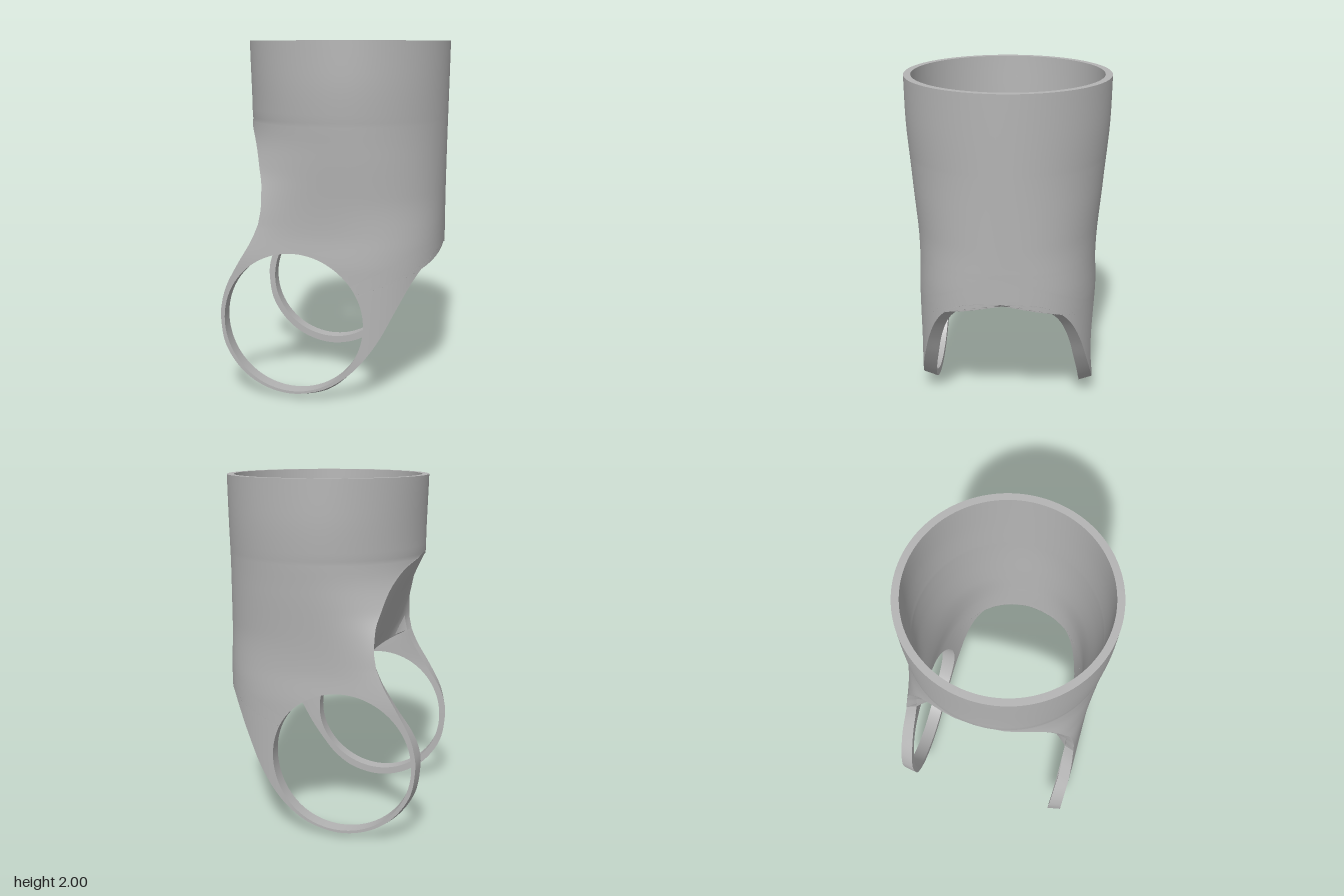
import * as THREE from 'three';
import { mergeVertices, mergeGeometries } from 'three/addons/utils/BufferGeometryUtils.js';

// Smooth lookup through [key, value] pairs, keys ascending, without overshoot at peaks
function lookup(keys) {
  const last = keys.length - 1;
  const rise = (i) => (keys[i + 1][1] - keys[i][1]) / (keys[i + 1][0] - keys[i][0]);
  const slope = (i) => {
    if (i === 0) return rise(0);
    if (i === last) return rise(last - 1);
    const a = rise(i - 1), b = rise(i);
    return a * b <= 0 ? 0 : 2 * a * b / (a + b);
  };
  return (y) => {
    if (y <= keys[0][0]) return keys[0][1];
    if (y >= keys[last][0]) return keys[last][1];
    let i = 0;
    while (y > keys[i + 1][0]) i++;
    const [y0, v0] = keys[i], [y1, v1] = keys[i + 1];
    const h = y1 - y0, u = (y - y0) / h, w = 1 - u;
    return v0 * w * w * (1 + 2 * u) + v1 * u * u * (1 + 2 * w)
      + h * u * w * (slope(i) * w - slope(i + 1) * u);
  };
}

// Horizontal cross-section by height: centre, right and left reach, depth, squareness, wall
const centre = lookup([[0, -0.05], [0.7, -0.05], [1, -0.03], [1.5, 0.03], [2, 0.035]]);
const right = lookup([[0, 0.6], [0.85, 0.6], [2, 0.615]]);
const left = lookup([[0, 2], [0.8, 2], [1, 1.1], [1.3, 0.63], [1.57, 0.565], [2, 0.577]]);
const depth = lookup([[0, 0.53], [0.75, 0.53], [0.95, 0.522], [1.4, 0.55], [1.8, 0.578], [2, 0.58]]);
const power = lookup([[0, 2.5], [0.85, 2.5], [1.15, 2.22], [1.6, 2], [2, 2]]);
const wall = lookup([[0, 0.08], [0.3, 0.08], [0.8, 0.065], [1.2, 0.05], [1.55, 0.04], [2, 0.04]]);
// Left edge of the side walls, and the middle line of the recessed panel
const edgeX = lookup([[1, -0.375], [1.1, -0.36], [1.2, -0.362], [1.3, -0.385], [1.4, -0.415], [1.5, -0.47], [1.57, -0.545]]);
const panelX = lookup([[0.95, -0.225], [1.1, -0.3], [1.3, -0.395], [1.57, -0.53]]);

const HOLE = { x: -0.18, y: 0.445, r: 0.4 };
const SEAM = 1, NOTCH = 1.57, PANEL_FOOT = 0.95, COLS = 64, ROWS = 14;

const reach = (side, y, inset) => (side >= 0 ? right(y) - centre(y) : left(y)) - inset * wall(y);

// Point on the shell (inset 0 = outside, 1 = inside)
function shell(t, y, inset) {
  const c = Math.cos(t), n = power(y);
  const z = (depth(y) - inset * wall(y)) * Math.pow(Math.max(0, 1 - Math.pow(Math.abs(c), n)), 1 / n);
  return new THREE.Vector3(centre(y) + reach(c, y, inset) * c, y, z < 1e-4 ? 0 : z);
}
// Angle on the shell at a given x
function angleAt(x, y, inset) {
  const d = x - centre(y);
  return Math.acos(THREE.MathUtils.clamp(d / reach(d, y, inset), -1, 1));
}
const leftAngle = (y) => (y >= NOTCH - 1e-6 ? Math.PI : angleAt(edgeX(y), y, 0));

// Lower outline: x, y, then the bevel shift of the inside edge
const OUTLINE = [
  [-0.375, 1, 0, 0], [-0.418, 0.9, 0, 0], [-0.495, 0.77, -0.005, 0], [-0.56, 0.65, -0.025, 0],
  [-0.592, 0.55, -0.037, 0], [-0.602, 0.445, -0.038, 0], [-0.575, 0.29, -0.035, -0.01],
  [-0.48, 0.15, -0.025, -0.02], [-0.345, 0.062, -0.01, -0.028], [-0.18, 0.03, 0, -0.03],
  [-0.01, 0.066, 0.01, -0.03], [0.12, 0.145, 0.01, -0.03], [0.22, 0.245, 0, -0.03],
  [0.31, 0.375, 0, -0.03], [0.385, 0.52, 0, -0.03], [0.45, 0.645, 0, -0.035],
  [0.495, 0.72, 0, -0.035], [0.54, 0.783, 0, -0.038], [0.575, 0.822, 0, -0.04],
  [0.592, 0.836, 0, -0.04], [0.6, 0.84, 0, -0.04],
];
const EDGE = 200;

function outline(inset) {
  const along = new THREE.SplineCurve(OUTLINE.map(([x, y]) => new THREE.Vector2(x, y)));
  const bevel = new THREE.SplineCurve(OUTLINE.map((p) => new THREE.Vector2(p[2], p[3])));
  const pts = [];
  for (let i = 0; i <= EDGE; i++) {
    const p = along.getPoint(i / EDGE), b = bevel.getPoint(i / EDGE);
    pts.push(new THREE.Vector2(angleAt(p.x + b.x * inset, p.y, 0), p.y + b.y * inset));
  }
  pts[0].set(leftAngle(SEAM), SEAM);
  pts[EDGE].x = 0;
  return pts;
}

// Closed loop round the eye: seam, lower outline, then up the right side
function loop(inset) {
  const pts = [];
  for (let k = 0; k < COLS; k++) pts.push(new THREE.Vector2(leftAngle(SEAM) * k / COLS, SEAM));
  pts.push(...outline(inset));
  const y0 = pts[pts.length - 1].y;
  for (let k = 1; k <= 4; k++) pts.push(new THREE.Vector2(0, y0 + (SEAM - y0) * k / 4));
  return pts;
}

// Hole directions that pair with the loop points
function holeAngles() {
  let prev = 0;
  return loop(0).map((p) => {
    const q = shell(p.x, p.y, 0);
    let a = Math.atan2(q.y - HOLE.y, q.x - HOLE.x);
    while (a < prev - Math.PI) a += 2 * Math.PI;
    prev = a;
    return a;
  });
}

// Surface from rows of points, optionally with reversed facing
function grid(rows, flip = false) {
  const w = rows[0].length, index = [];
  for (let i = 0; i < rows.length - 1; i++) {
    for (let j = 0; j < w - 1; j++) {
      const a = i * w + j, b = a + 1, c = a + w, d = c + 1;
      if (flip) index.push(a, b, c, b, d, c);
      else index.push(a, c, b, b, c, d);
    }
  }
  const g = new THREE.BufferGeometry().setFromPoints(rows.flat());
  g.setIndex(index);
  return g;
}
const mirrorRows = (rows) => rows.map((r) => r.map((p) => new THREE.Vector3(p.x, p.y, -p.z)));

// Join patches with their front-to-back mirror into one smooth surface
function smooth(patches, flip) {
  const all = patches.flatMap((rows) => [grid(rows, flip), grid(mirrorRows(rows), !flip)]);
  const g = mergeVertices(mergeGeometries(all), 1e-4);
  g.computeVertexNormals();
  return g;
}

function skinPatches(inset, angles) {
  // upper tube
  const heights = [];
  for (let i = 0; i < 10; i++) heights.push(2 - (2 - NOTCH) * i / 10);
  for (let i = 0; i <= 24; i++) heights.push(NOTCH - (NOTCH - SEAM) * i / 24);
  const tube = heights.map((y) => Array.from({ length: COLS + 1 },
    (_, k) => shell(leftAngle(y) * k / COLS, y, inset)));
  // eye wall around the hole
  const outer = loop(inset);
  const hole = angles.map((a) => {
    const x = HOLE.x + HOLE.r * Math.cos(a), y = HOLE.y + HOLE.r * Math.sin(a);
    return new THREE.Vector2(angleAt(x, y, inset), y);
  });
  const eye = [];
  for (let m = 0; m <= ROWS; m++) {
    eye.push(outer.map((p, j) => {
      const q = p.clone().lerp(hole[j], m / ROWS);
      return shell(q.x, q.y, inset);
    }));
  }
  return { tube, eye };
}

// Half of the recessed panel, from its middle line to the side wall
function panelRows(inset) {
  const rows = [];
  for (let i = 0; i <= 24; i++) {
    const y = NOTCH - (NOTCH - SEAM) * i / 24, yc = NOTCH - (NOTCH - PANEL_FOOT) * i / 24;
    const e = shell(leftAngle(y), y, inset), px = panelX(yc) + 0.035 * inset, row = [];
    for (let k = 0; k <= 16; k++) {
      const s = k / 16, f = s ** 3;
      row.push(new THREE.Vector3(px + (e.x - px) * f, yc + (y - yc) * f, e.z * s));
    }
    rows.push(row);
  }
  return rows;
}

export function createModel() {
  const group = new THREE.Group();
  const grey = new THREE.MeshStandardMaterial({ color: 0xb4b4b4, side: THREE.DoubleSide });
  grey.name = 'plain grey';
  const add = (name, patches, flip) => {
    const mesh = new THREE.Mesh(smooth(patches, flip), grey);
    mesh.name = name;
    group.add(mesh);
  };

  const angles = holeAngles();
  const out = skinPatches(0, angles), inn = skinPatches(1, angles);
  add('outerShell', [out.tube, out.eye], true);
  add('innerShell', [inn.tube, inn.eye], false);

  // recessed panel on the open side
  const pOut = panelRows(0), pIn = panelRows(1);
  add('recessedPanelOutside', [pOut], false);
  add('recessedPanelInside', [pIn], true);
  add('recessedPanelRim', [[pOut[24], pIn[24]]], false);

  // rims that close the wall thickness
  add('topRim', [[out.tube[0], inn.tube[0]]], false);
  add('eyeHoleRims', [[out.eye[ROWS], inn.eye[ROWS]]], true);
  const lower = (rows) => rows[0].slice(COLS, COLS + EDGE + 1);
  add('lowerRim', [[lower(out.eye), lower(inn.eye)]], false);
  return group;
}
